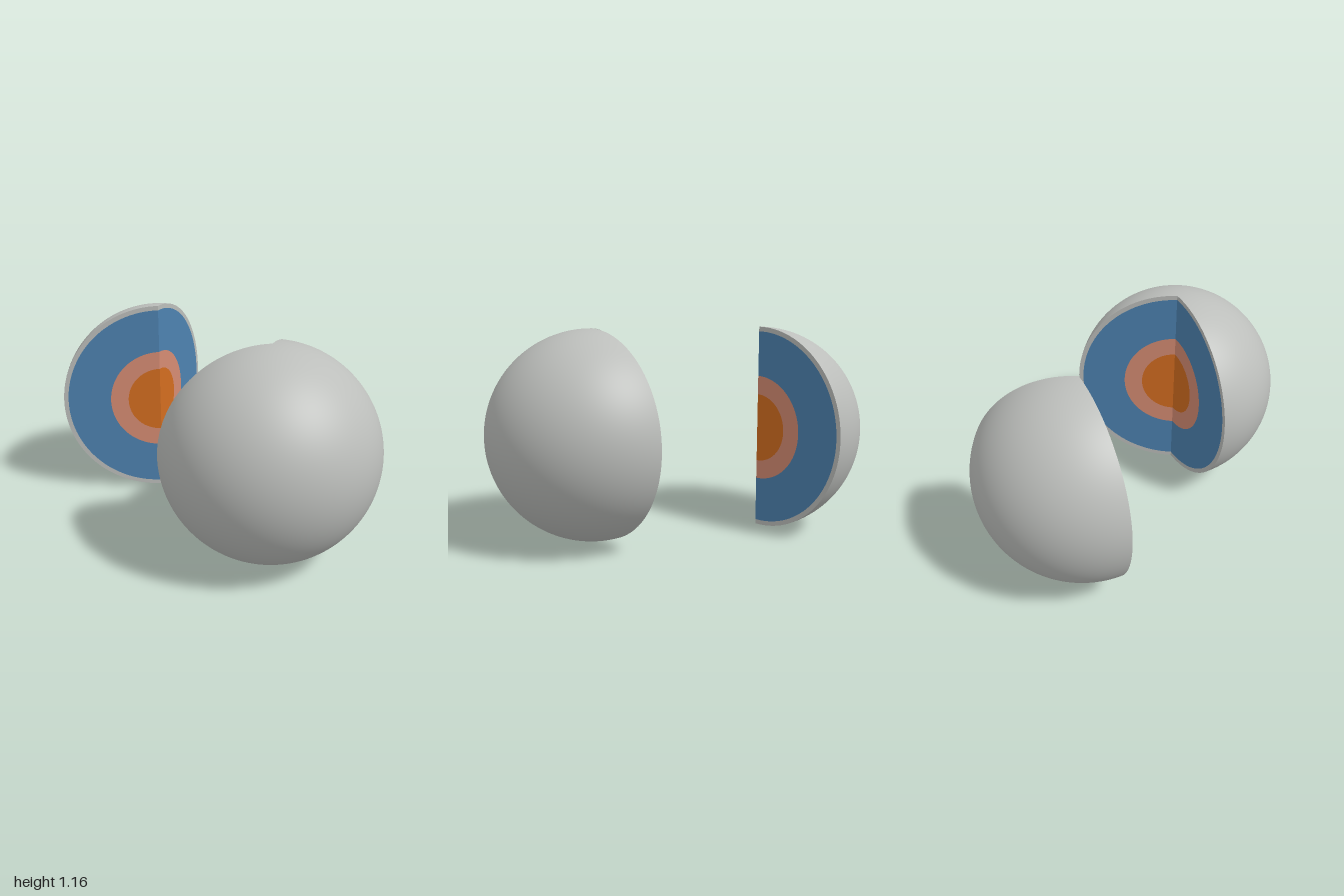
import * as THREE from 'three';

const R = 0.579;
const rad = THREE.MathUtils.degToRad;

const mat = (name, color) => {
  const m = new THREE.MeshStandardMaterial({ color });
  m.name = name;
  return m;
};

export function createModel() {
  const crust = mat('grey crust', 0xbcbebb);
  // Layers from the centre outwards: name, inner radius, outer radius, colour
  const layers = [
    ['innerCore', 0, 0.194, mat('orange core', 0xd36d20)],
    ['outerCore', 0.194, 0.3, mat('salmon core', 0xd68c73)],
    ['mantle', 0.3, 0.553, mat('blue mantle', 0x4d82b0)],
    ['crustRim', 0.553, R, crust],
  ];

  // Flat half-disc section at compass angle a (x = cos a, z = sin a)
  function cutFace(name, a, isStart) {
    const face = new THREE.Group();
    face.name = name;
    const start = isStart ? Math.PI / 2 : -Math.PI / 2;
    for (const [part, inner, outer, material] of layers) {
      const geometry = inner === 0
        ? new THREE.CircleGeometry(outer, 64, start, Math.PI)
        : new THREE.RingGeometry(inner, outer, 64, 1, start, Math.PI);
      const mesh = new THREE.Mesh(geometry, material);
      mesh.name = part;
      face.add(mesh);
    }
    face.rotation.y = -rad(a) + (isStart ? Math.PI : 0);
    return face;
  }

  // Sphere segment between two compass angles, closed by two layered sections
  function segment(name, a0, a1, x, z) {
    const group = new THREE.Group();
    group.name = name;
    const shell = new THREE.Mesh(
      new THREE.SphereGeometry(R, 96, 64, Math.PI - rad(a1), rad(a1 - a0)), crust);
    shell.name = 'outerShell';
    group.add(shell, cutFace('startSection', a0, true), cutFace('endSection', a1, false));
    group.position.set(x, R, z);
    return group;
  }

  const model = new THREE.Group();
  model.name = 'layeredSphere';
  model.add(
    segment('mainBody', -90, 150, 0.421, 0.225),
    segment('removedWedge', 150, 270, -0.421, -0.225),
  );
  return model;
}
